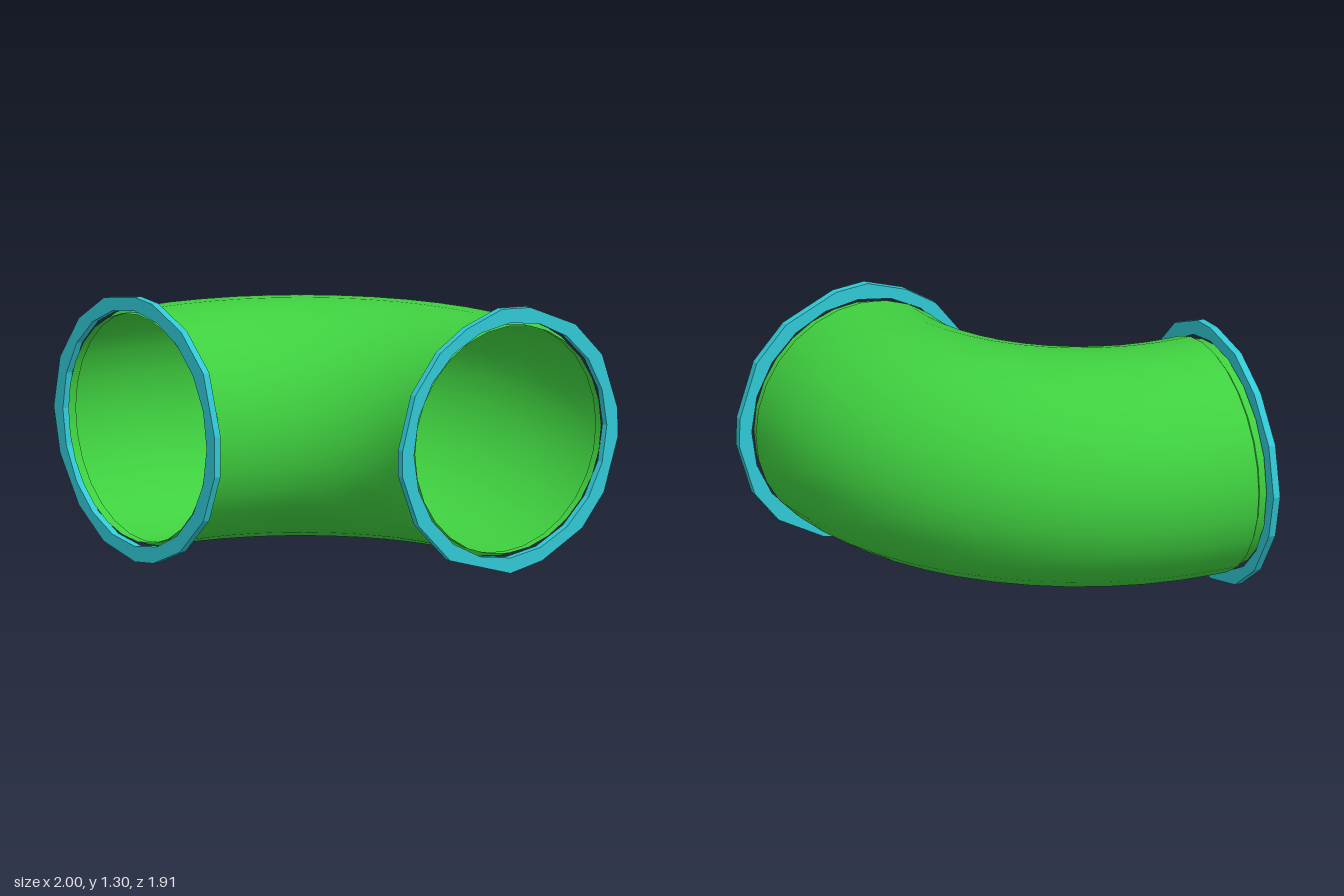
import * as THREE from 'three';

const BEND = 1.15;      // radius of the bend's centre line
const RADIUS = 0.578;   // pipe radius
const STRAIGHT = 0.06;  // straight run after the bend
const END = 0.12;       // distance from the bend to the flange centre
const SIDES = 28;

// Slightly irregular flange outlines, relative to the flange centre
const FRONT_OUTLINE = [
  [-0.65, 0], [-0.6, -0.22], [-0.45, -0.45], [-0.25, -0.595], [0, -0.653], [0.15, -0.635],
  [0.36, -0.545], [0.55, -0.36], [0.64, -0.13], [0.64, 0.07], [0.55, 0.365], [0.37, 0.54],
  [0.14, 0.635], [0, 0.645], [-0.25, 0.6], [-0.45, 0.465], [-0.6, 0.25],
];
const SIDE_OUTLINE = [
  [0, -0.653], [0.19, -0.615], [0.43, -0.485], [0.56, -0.325], [0.645, -0.06], [0.64, 0.08],
  [0.55, 0.35], [0.39, 0.52], [0.12, 0.637], [-0.05, 0.65], [-0.26, 0.58], [-0.42, 0.48],
  [-0.57, 0.29], [-0.645, 0.03], [-0.645, -0.1], [-0.55, -0.35], [-0.36, -0.545],
];

const green = new THREE.MeshStandardMaterial({ color: 0x3fd03f, side: THREE.DoubleSide });
const cyan = new THREE.MeshStandardMaterial({ color: 0x30c8d4 });

function addMesh(parent, name, geometry, material) {
  const mesh = new THREE.Mesh(geometry, material);
  mesh.name = name;
  parent.add(mesh);
}

// Open shell of revolution along +z from [radius, z] pairs
function sleeve(profile) {
  const points = profile.map(([r, z]) => new THREE.Vector2(r, z));
  return new THREE.LatheGeometry(points, SIDES).rotateX(Math.PI / 2);
}

function flange(outline) {
  const shape = new THREE.Shape(outline.map(([x, y]) => new THREE.Vector2(x, y)));
  const hole = [];
  for (let i = 0; i < 20; i++) {
    const a = -i / 20 * Math.PI * 2;
    hole.push(new THREE.Vector2(0.577 * Math.cos(a), 0.577 * Math.sin(a)));
  }
  shape.holes.push(new THREE.Path(hole));
  return new THREE.ExtrudeGeometry(shape, { depth: 0.036, bevelEnabled: false })
    .translate(0, 0, END - 0.018);
}

// Straight run, stepped-in collar and flange, opening towards +z
function pipeEnd(name, outline) {
  const end = new THREE.Group();
  end.name = name;
  addMesh(end, 'straightRun', sleeve([[RADIUS, 0], [RADIUS, STRAIGHT]]), green);
  addMesh(end, 'step', sleeve([[RADIUS, STRAIGHT], [0.557, STRAIGHT + 0.015]]), green);
  addMesh(end, 'collar', sleeve([[0.557, STRAIGHT + 0.015], [0.557, END]]), green);
  addMesh(end, 'flange', flange(outline), cyan);
  return end;
}

export function createModel() {
  const model = new THREE.Group();
  model.name = 'pipeElbow';

  // The elbow is built around its bend centre, then turned slightly
  const elbow = new THREE.Group();
  elbow.name = 'elbow';
  elbow.position.set(0.804, 0.653, 0.832);
  elbow.rotation.y = -0.035;
  model.add(elbow);

  // Quarter bend from the front opening to the left opening
  const bend = new THREE.TorusGeometry(BEND, RADIUS, SIDES, 12, Math.PI / 2)
    .rotateX(-Math.PI / 2).rotateY(Math.PI / 2);
  addMesh(elbow, 'bend', bend, green);

  const front = pipeEnd('frontEnd', FRONT_OUTLINE);
  front.position.x = -BEND;
  const side = pipeEnd('leftEnd', SIDE_OUTLINE);
  side.position.z = -BEND;
  side.rotation.y = Math.PI / 2;
  elbow.add(front, side);

  return model;
}
